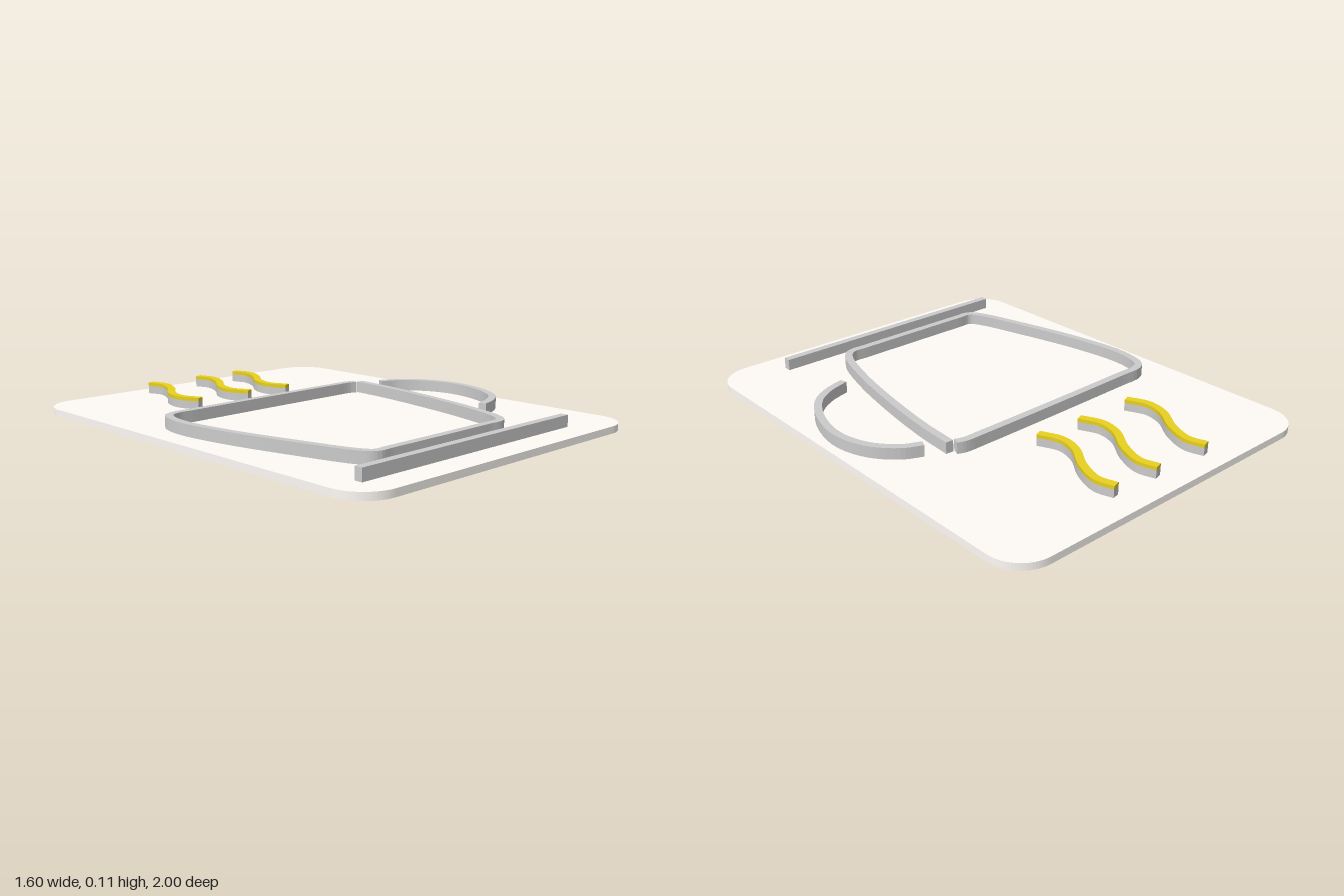
import * as THREE from 'three';

const grey = new THREE.MeshStandardMaterial({ color: 0xcccccc });
const cream = new THREE.MeshStandardMaterial({ color: 0xfffbf7 });
const yellow = new THREE.MeshStandardMaterial({ color: 0xe8d020 });

const PLATE_BOTTOM = 0.025, PLATE_TOP = 0.055, RELIEF_TOP = 0.105;

// Extrude a plan outline (drawn with y = -z) upward between two heights
function slab(name, shape, y0, y1, material) {
  const geometry = new THREE.ExtrudeGeometry(shape, { depth: y1 - y0, bevelEnabled: false, curveSegments: 10 });
  geometry.rotateX(-Math.PI / 2);
  geometry.translate(0, y0, 0);
  const mesh = new THREE.Mesh(geometry, material);
  mesh.name = name;
  return mesh;
}

// Constant-width band following a smooth line of [x, z] points, with square ends
function ribbon(points, width, steps = 5) {
  const curve = new THREE.CatmullRomCurve3(points.map(([x, z]) => new THREE.Vector3(x, -z, 0)));
  const n = (points.length - 1) * steps;
  const left = [], right = [];
  for (let i = 0; i <= n; i++) {
    const p = curve.getPoint(i / n), t = curve.getTangent(i / n);
    const dx = -t.y * width / 2, dy = t.x * width / 2;
    left.push(new THREE.Vector2(p.x + dx, p.y + dy));
    right.unshift(new THREE.Vector2(p.x - dx, p.y - dy));
  }
  return new THREE.Shape([...left, ...right]);
}

function roundedRect(w, h, r) {
  const s = new THREE.Shape();
  s.absarc(w - r, h - r, r, 0, Math.PI / 2);
  s.absarc(r - w, h - r, r, Math.PI / 2, Math.PI);
  s.absarc(r - w, r - h, r, Math.PI, Math.PI * 1.5);
  s.absarc(w - r, r - h, r, Math.PI * 1.5, Math.PI * 2);
  s.closePath();
  return s;
}

// Thin wire under the plate whose two ends bend up into it
function wire(points) {
  const group = new THREE.Group();
  group.name = 'undersideWire';
  const r = 0.005;
  const v = points.map(([x, z]) => new THREE.Vector3(x, r, z));
  const first = v[0], last = v[v.length - 1];
  const run = new THREE.CatmullRomCurve3(v);
  const bar = new THREE.Mesh(new THREE.TubeGeometry(run, 16, r, 8), grey);
  bar.name = 'wireBar';
  group.add(bar);
  for (const end of [first, last]) {
    const post = new THREE.Mesh(new THREE.CylinderGeometry(r, r, PLATE_BOTTOM, 8), grey);
    post.position.set(end.x, r + PLATE_BOTTOM / 2, end.z);
    post.name = 'wirePost';
    const elbow = new THREE.Mesh(new THREE.SphereGeometry(r, 8, 6), grey);
    elbow.position.copy(end);
    elbow.name = 'wireElbow';
    group.add(post, elbow);
  }
  return group;
}

export function createModel() {
  const model = new THREE.Group();
  model.name = 'coffeeSign';

  model.add(slab('basePlate', roundedRect(0.8, 1, 0.15), PLATE_BOTTOM, PLATE_TOP, cream));

  // Cup outline, left open at the upper right corner
  const cup = [
    [0.435, -0.252], [0.4, -0.264], [0.3, -0.266], [0, -0.265], [-0.5, -0.258], [-0.61, -0.255],
    [-0.655, -0.225], [-0.685, -0.1], [-0.66, 0.14], [-0.585, 0.455], [-0.51, 0.7], [-0.475, 0.745],
    [-0.4, 0.747], [-0.13, 0.747], [0.15, 0.745], [0.235, 0.743], [0.28, 0.7], [0.35, 0.49],
    [0.41, 0.19], [0.445, -0.07], [0.455, -0.24],
  ];
  model.add(slab('cupOutline', ribbon(cup, 0.034), PLATE_TOP, RELIEF_TOP, grey));

  // Cup handle
  const handle = [
    [0.54, -0.185], [0.62, -0.145], [0.705, -0.045], [0.743, 0.1],
    [0.71, 0.27], [0.635, 0.4], [0.55, 0.46], [0.45, 0.493],
  ];
  model.add(slab('cupHandle', ribbon(handle, 0.033), PLATE_TOP, RELIEF_TOP, grey));

  // Saucer line
  model.add(slab('saucer', ribbon([[-0.68, 0.861], [0.51, 0.861]], 0.034, 1), PLATE_TOP, RELIEF_TOP, grey));

  // Three steam wisps: grey body with a yellow cap
  const wisp = [
    [-0.275, -0.908], [-0.255, -0.83], [-0.29, -0.725], [-0.358, -0.62], [-0.375, -0.53], [-0.338, -0.438],
  ];
  for (const [dx, dz] of [[0, 0], [0.27, 0.01], [0.488, 0.022]]) {
    const shape = ribbon(wisp.map(([x, z]) => [x + dx, z + dz]), 0.034);
    const steam = new THREE.Group();
    steam.name = 'steamWisp';
    steam.add(slab('steamBody', shape, PLATE_TOP, 0.09, grey));
    steam.add(slab('steamCap', shape, 0.09, RELIEF_TOP, yellow));
    model.add(steam);
  }

  // Wires on the underside
  const wires = [
    [[0.45, 0.87], [0.425, 0.7], [0.42, 0.5]],
    [[0.555, -0.18], [0.5, -0.2], [0.455, -0.22]],
    [[0.42, -0.255], [0.31, -0.32], [0.22, -0.385], [0.16, -0.445]],
    [[0.22, -0.86], [0.11, -0.875], [0.005, -0.9]],
    [[-0.07, -0.425], [-0.2, -0.425], [-0.345, -0.445]],
  ];
  for (const points of wires) model.add(wire(points));

  return model;
}
